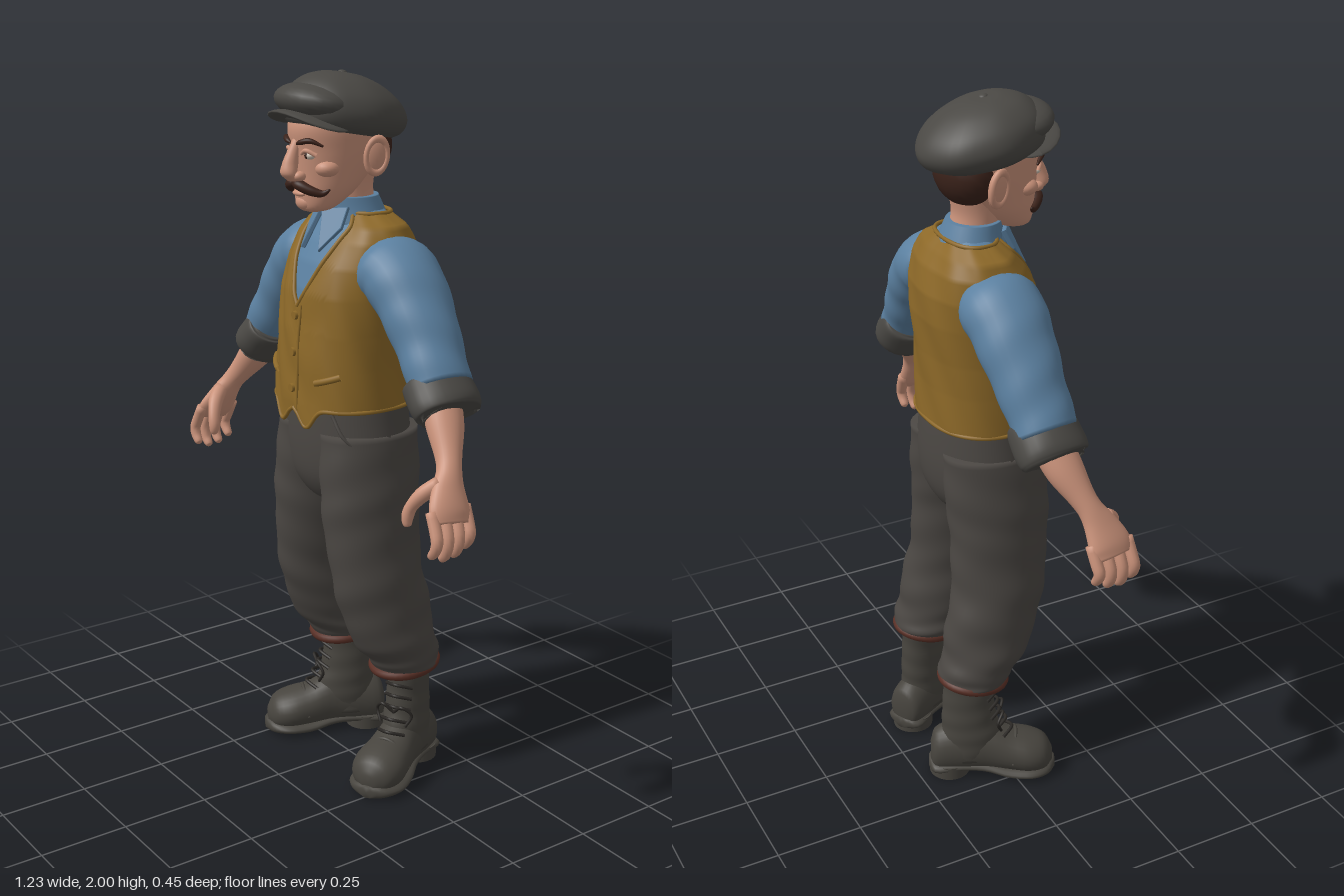
import * as THREE from 'three';
import { ParametricGeometry } from 'three/addons/geometries/ParametricGeometry.js';

const V = (x, y, z) => new THREE.Vector3(x, y, z);
const mat = (name, hex, side = THREE.FrontSide) => {
  const m = new THREE.MeshStandardMaterial({ color: hex, side });
  m.name = name;
  return m;
};
const UP = V(0, 1, 0), FRONT = V(0, 0, 1);

// Smooth skin through elliptical rings [x, y, z, radiusA, radiusB]
function loft(rings, { n = 24, m = 28, ref = FRONT, axis = null, wave = null } = {}) {
  const path = new THREE.CatmullRomCurve3(rings.map(r => V(r[0], r[1], r[2])), false, 'catmullrom');
  const size = new THREE.CatmullRomCurve3(rings.map(r => V(r[3], r[4], 0)), false, 'catmullrom');
  const pos = [], idx = [];
  for (let i = 0; i <= n; i++) {
    const t = i / n, p = path.getPoint(t), s = size.getPoint(t);
    const T = axis || path.getTangent(t);
    const v = ref.clone().addScaledVector(T, -ref.dot(T)).normalize();
    const u = v.clone().cross(T);
    for (let j = 0; j < m; j++) {
      const a = j / m * Math.PI * 2, k = wave ? wave(t, a) : 1;
      const q = p.clone().addScaledVector(u, s.x * k * Math.cos(a)).addScaledVector(v, s.y * k * Math.sin(a));
      pos.push(q.x, q.y, q.z);
      const a0 = i * m + j, b0 = i * m + (j + 1) % m;
      if (i < n) idx.push(a0, b0, a0 + m, b0, b0 + m, a0 + m);
    }
  }
  const c0 = (n + 1) * m;
  for (const t of [0, 1]) pos.push(...path.getPoint(t).toArray());
  for (let j = 0; j < m; j++) {
    const k = (j + 1) % m;
    idx.push(c0, k, j, c0 + 1, n * m + j, n * m + k);
  }
  const g = new THREE.BufferGeometry();
  g.setAttribute('position', new THREE.Float32BufferAttribute(pos, 3));
  g.setIndex(idx);
  g.computeVertexNormals();
  return g;
}
const tube = (pts, r, n = 24, closed = false) =>
  new THREE.TubeGeometry(new THREE.CatmullRomCurve3(pts, closed), n, r, 8, closed);
const ball = (x, y, z, a, b, c) => new THREE.SphereGeometry(1, 24, 16).scale(a, b, c).translate(x, y, z);
function bend(g, rule) {
  const p = g.attributes.position, v = V();
  for (let i = 0; i < p.count; i++) { rule(v.fromBufferAttribute(p, i)); p.setXYZ(i, v.x, v.y, v.z); }
  g.computeVertexNormals();
  return g;
}
function mirrored(src) {
  const g = src.index ? src.toNonIndexed() : src.clone();
  for (const key of ['position', 'normal']) {
    const a = g.attributes[key];
    for (let i = 0; i < a.count; i++) a.setX(i, -a.getX(i));
    for (let i = 0; i < a.count; i += 3) {
      const b = [a.getX(i + 1), a.getY(i + 1), a.getZ(i + 1)];
      a.setXYZ(i + 1, a.getX(i + 2), a.getY(i + 2), a.getZ(i + 2));
      a.setXYZ(i + 2, ...b);
    }
  }
  return g;
}

// Torso profile: [y, half width, front z, back z]
const TORSO = [[1.04, .2, .188, -.15], [1.12, .198, .187, -.153], [1.22, .192, .183, -.152], [1.32, .188, .178, -.156],
  [1.42, .188, .165, -.165], [1.5, .19, .138, -.163], [1.56, .188, .103, -.147], [1.6, .17, .065, -.122], [1.635, .1, .03, -.09]];
function torso(a, y, off, out) {
  let i = 0;
  while (i < TORSO.length - 2 && y > TORSO[i + 1][0]) i++;
  const A = TORSO[i], B = TORSO[i + 1], k = (y - A[0]) / (B[0] - A[0]);
  const [w, f, b] = [1, 2, 3].map(c => A[c] + (B[c] - A[c]) * k);
  const pw = t => Math.sign(t) * Math.abs(t) ** .82;
  return out.set((w + off) * pw(Math.sin(a)), y, (f + b) / 2 + ((f - b) / 2 + off) * pw(Math.cos(a)));
}
const wrap = a => Math.abs(a > Math.PI ? a - 2 * Math.PI : a);
const neckline = a => 1.385 + .245 * Math.min(1, wrap(a) / (Math.PI / 6));
const hemline = a => 1.115 - .055 * Math.exp(-(((wrap(a) - .22) / .17) ** 2));
const onVest = (a, y, off = .002) => torso(a, y, off, V());

export function createModel() {
  const root = new THREE.Group();
  root.name = 'manInFlatCap';
  const skin = mat('skin', 0xcb937b), shirt = mat('shirtBlue', 0x5b80a0, THREE.DoubleSide);
  const vest = mat('vestOchre', 0x8c6828, THREE.DoubleSide), cloth = mat('trouserGrey', 0x4b4743);
  const boot = mat('bootGrey', 0x47443e), capMat = mat('capGrey', 0x4a4844), hair = mat('hairBrown', 0x3a221a);
  const hem = mat('hemBrown', 0x5a3026), dark = mat('lace', 0x2a2724), eye = mat('eyeWhite', 0xcfc3b4);
  const add = (name, g, m) => {
    const mesh = new THREE.Mesh(g, m);
    mesh.name = name;
    root.add(mesh);
  };
  const pair = (name, g, m) => { add(name + 'Left', g, m); add(name + 'Right', mirrored(g), m); };

  // Shirt body and vest with a V neck and pointed hem
  add('shirtBody', new ParametricGeometry((u, v, o) => torso(u * 2 * Math.PI, 1.2 + .435 * v, -.012, o), 60, 24), shirt);
  add('vest', new ParametricGeometry((u, v, o) => {
    const a = u * 2 * Math.PI, lo = hemline(a);
    torso(a, lo + (neckline(a) - lo) * v, .002 * Math.sin(9 * a + 14 * v), o);
  }, 120, 40), vest);
  const around = (f, off) => Array.from({ length: 97 }, (_, i) => onVest(i / 48 * Math.PI, f(i / 48 * Math.PI), off));
  add('vestNeckEdge', tube(around(neckline, 0), .006, 240), vest);
  add('vestHemEdge', tube(around(hemline, -.002), .006, 240), vest);
  add('vestPlacket', tube([1.1, 1.17, 1.24, 1.31, 1.39].map(y => onVest(.06, y, .001)), .004), vest);
  for (const y of [1.16, 1.26, 1.36])
    add('vestButton', new THREE.CylinderGeometry(.011, .012, .008, 16).rotateX(Math.PI / 2).translate(0, y, onVest(0, y).z + .004), vest);
  pair('vestPocket', tube([.4, .55, .7, .85].map((a, i) => onVest(a, 1.19 + i * .008, .002)), .009), vest);

  // Shirt collar
  add('collarBand', loft([[0, 1.6, -.022, .1, .088], [0, 1.64, -.014, .086, .08], [0, 1.672, -.006, .076, .074]], { axis: UP }), shirt);
  const wing = new THREE.Shape([[.004, 0], [.07, .025], [.075, -.03], [.04, -.105]].map(p => new THREE.Vector2(...p)));
  pair('collarWing', new THREE.ExtrudeGeometry(wing, { depth: .008, bevelEnabled: true, bevelSize: .003, bevelThickness: .003, bevelSegments: 2 })
    .rotateY(.45).rotateX(-.5).translate(0, 1.635, .085), shirt);

  // Trousers with loose folds
  const folds = (t, a) => 1 + .022 * Math.sin(t * 26 + 2.5 * Math.sin(a + 1)) * Math.min(1, t * 1.5) + .012 * Math.sin(t * 47 - 2 * a);
  add('trouserSeat', loft([[0, 1.16, .008, .185, .15], [0, 1.08, .006, .195, .157], [0, .98, .004, .205, .158],
    [0, .9, .004, .19, .145], [0, .84, .004, .12, .11], [0, .815, .004, .04, .07]], { axis: V(0, -1, 0), m: 40 }), cloth);
  pair('trouserLeg', loft([[.1, 1.04, .004, .1, .15], [.112, .9, .008, .107, .152], [.122, .78, .01, .106, .146],
    [.136, .64, .002, .104, .14], [.146, .52, -.022, .105, .138], [.15, .42, -.05, .106, .125],
    [.152, .36, -.08, .104, .107], [.152, .33, -.088, .094, .095]], { n: 64, m: 40, axis: V(0, -1, 0), wave: folds }), cloth);
  pair('trouserHem', new THREE.TorusGeometry(.087, .014, 10, 36).rotateX(Math.PI / 2).scale(1, 1.1, 1.05)
    .rotateX(.13).translate(.152, .332, -.088), hem);
  pair('trouserPocket', tube([V(.12, 1.1, .14), V(.155, 1.04, .125), V(.19, .99, .07)], .005), cloth);

  // Boots, toes turned out
  const place = g => g.rotateY(.45).translate(.152, 0, -.103);
  const flat = y0 => v => { v.y = Math.max(v.y, y0); };
  pair('bootShaft', place(loft([[0, .37, 0, .055, .074], [0, .28, 0, .056, .074], [0, .2, .002, .06, .08],
    [0, .13, .01, .063, .09], [0, .06, .0, .06, .09]], { axis: V(0, -1, 0), wave: (t, a) => 1 + .015 * Math.sin(t * 30 + a) })), boot);
  pair('bootFoot', place(bend(loft([[0, .07, -.112, .02, .03], [0, .075, -.095, .052, .07], [0, .085, -.03, .06, .085],
    [0, .09, .05, .062, .085], [0, .075, .12, .072, .068], [0, .065, .18, .078, .062], [0, .058, .225, .06, .05],
    [0, .05, .248, .02, .022]], { axis: FRONT, ref: UP }), flat(.02))), boot);
  pair('bootSole', place(bend(loft([[0, .03, -.118, .02, .016], [0, .03, -.095, .06, .02], [0, .035, -.02, .056, .02],
    [0, .033, .05, .06, .02], [0, .022, .12, .078, .022], [0, .022, .19, .084, .022], [0, .022, .235, .06, .022],
    [0, .022, .256, .02, .016]], { axis: FRONT, ref: UP }), flat(.002))), boot);
  pair('bootHeel', place(new THREE.CylinderGeometry(.06, .06, .04, 28).translate(0, .02, -.056)), boot);
  pair('bootToeSeam', place(tube([V(-.07, .06, .13), V(-.045, .115, .135), V(0, .138, .14), V(.045, .115, .135), V(.07, .06, .13)], .005)), boot);
  for (let i = 0; i < 5; i++) {
    const y = .275 - i * .032, z = .075 + i * .006 + (i > 2 ? (i - 2) * .012 : 0);
    pair('bootLace', place(tube([V(-.042, y - .006, z - .022), V(0, y + .006, z + .005), V(.042, y - .006, z - .022)], .005, 12)), dark);
  }
  for (const s of [-1, 1])
    pair('bootLaceBow', place(tube([V(0, .2, .09), V(s * .03, .225, .1), V(s * .055, .2, .085), V(s * .04, .165, .095)], .0045)), dark);

  // Sleeves, rolled cuffs and forearms
  const creases = (t, a) => 1 + .025 * Math.sin(t * 28 + 2 * Math.sin(a)) * t;
  pair('sleeve', loft([[.13, 1.49, -.022, .07, .085], [.165, 1.49, -.022, .092, .112], [.215, 1.468, -.022, .094, .112],
    [.28, 1.4, -.02, .087, .104], [.345, 1.31, -.014, .08, .092], [.405, 1.225, -.006, .07, .088]], { n: 48, wave: creases }), shirt);
  pair('sleeveCuff', loft([[.37, 1.243, -.006, .06, .08], [.377, 1.236, -.006, .073, .094], [.405, 1.206, -.005, .077, .099],
    [.432, 1.176, -.003, .077, .099], [.444, 1.163, -.002, .068, .088], [.437, 1.17, -.002, .04, .05]],
    { n: 30, wave: (t, a) => 1 + .02 * Math.sin(3 * a + 6 * t) }), capMat);
  pair('forearm', loft([[.41, 1.2, .0, .046, .056], [.455, 1.135, .02, .044, .052], [.5, 1.075, .044, .034, .037],
    [.525, 1.04, .06, .029, .035], [.546, 1, .078, .028, .048], [.57, .955, .092, .026, .061],
    [.586, .925, .097, .018, .055]], { n: 36 }), skin);

  // Fingers and thumb
  for (let i = 0; i < 4; i++) {
    const z = .15 - i * .035, d = [.008, -.006, -.002, .014][i];
    pair('finger', loft([[.565, .96, z - .004, .015, .017], [.588, .915, z, .016, .0165], [.598, .885 + d / 2, z + .003, .0155, .016],
      [.592, .858 + d, z + .004, .014, .015], [.577, .84 + d, z + .004, .011, .012], [.572, .835 + d, z + .004, .004, .004]], { n: 16, m: 12 }), skin);
  }
  pair('thumb', loft([[.535, 1.02, .095, .02, .022], [.51, .99, .13, .02, .022], [.488, .955, .15, .016, .018],
    [.479, .925, .156, .016, .016], [.48, .903, .157, .011, .011], [.481, .898, .157, .003, .003]], { n: 18, m: 14 }), skin);

  // Head, neck and face
  add('neck', loft([[0, 1.76, .0, .07, .075], [0, 1.68, 0, .064, .066], [0, 1.58, -.02, .07, .07]]), skin);
  add('head', loft([[0, 1.636, .115, .02, .02], [0, 1.648, .106, .052, .05], [0, 1.69, .077, .077, .086], [0, 1.74, .055, .091, .112],
    [0, 1.8, .04, .103, .132], [0, 1.86, .04, .108, .138], [0, 1.92, .035, .1, .12]], { axis: UP, n: 40, m: 40 }), skin);
  add('chin', ball(0, 1.663, .132, .036, .026, .033), skin);
  add('nose', loft([[0, 1.835, .16, .013, .014], [0, 1.8, .176, .015, .018], [0, 1.77, .187, .019, .022],
    [0, 1.742, .192, .024, .022], [0, 1.722, .178, .018, .016]], { axis: V(0, -1, 0) }), skin);
  pair('nostril', ball(.021, 1.735, .172, .014, .013, .018), skin);
  pair('cheek', ball(.06, 1.756, .112, .034, .024, .035), skin);
  pair('ear', ball(0, 0, 0, .014, .054, .034).rotateY(-.35).rotateZ(-.14).translate(.122, 1.785, 0), skin);
  pair('earRim', new THREE.TorusGeometry(.032, .008, 8, 24).scale(.9, 1.4, 1).rotateY(Math.PI / 2 - .35)
    .rotateZ(-.14).translate(.129, 1.787, .002), skin);
  pair('eye', ball(.041, 1.79, .153, .018, .011, .014), eye);
  pair('pupil', ball(.04, 1.79, .1635, .007, .008, .005), hair);
  pair('upperLid', tube([V(.02, 1.793, .164), V(.041, 1.803, .166), V(.064, 1.791, .148)], .006), skin);
  pair('eyebrow', loft([[.014, 1.818, .176, .003, .003], [.03, 1.824, .174, .009, .007], [.055, 1.829, .162, .008, .007],
    [.08, 1.816, .138, .003, .003]], { ref: UP }), hair);
  pair('moustache', loft([[-.002, 1.716, .172, .012, .01], [.02, 1.711, .171, .016, .014], [.045, 1.699, .156, .013, .013],
    [.068, 1.692, .134, .008, .009], [.084, 1.703, .12, .003, .003]], { ref: UP }), hair);
  add('lowerLip', ball(0, 1.687, .161, .026, .008, .011), skin);
  add('hair', ball(0, 1.805, -.028, .109, .092, .082), hair);

  // Flat cap, tilted back
  const tilt = g => g.rotateX(-.18).translate(-.003, 1.855, .03);
  add('capCrown', tilt(loft([[0, -.015, -.005, .118, .145], [0, .005, -.01, .144, .168], [0, .04, -.012, .153, .174],
    [0, .08, -.004, .138, .155], [0, .115, .006, .098, .11], [0, .134, .012, .05, .055], [0, .138, .014, .01, .01]],
    { axis: UP, m: 48, n: 36, wave: (t, a) => 1 + .008 * Math.cos(8 * a) })), capMat);
  add('capFront', tilt(ball(0, .05, .085, .126, .052, .104)), capMat);
  add('capBrim', tilt(bend(ball(0, .012, .092, .128, .014, .108), v => { v.y -= 1.6 * v.x * v.x; })), capMat);
  add('capButton', tilt(ball(0, .136, .014, .013, .007, .013)), capMat);
  return root;
}
